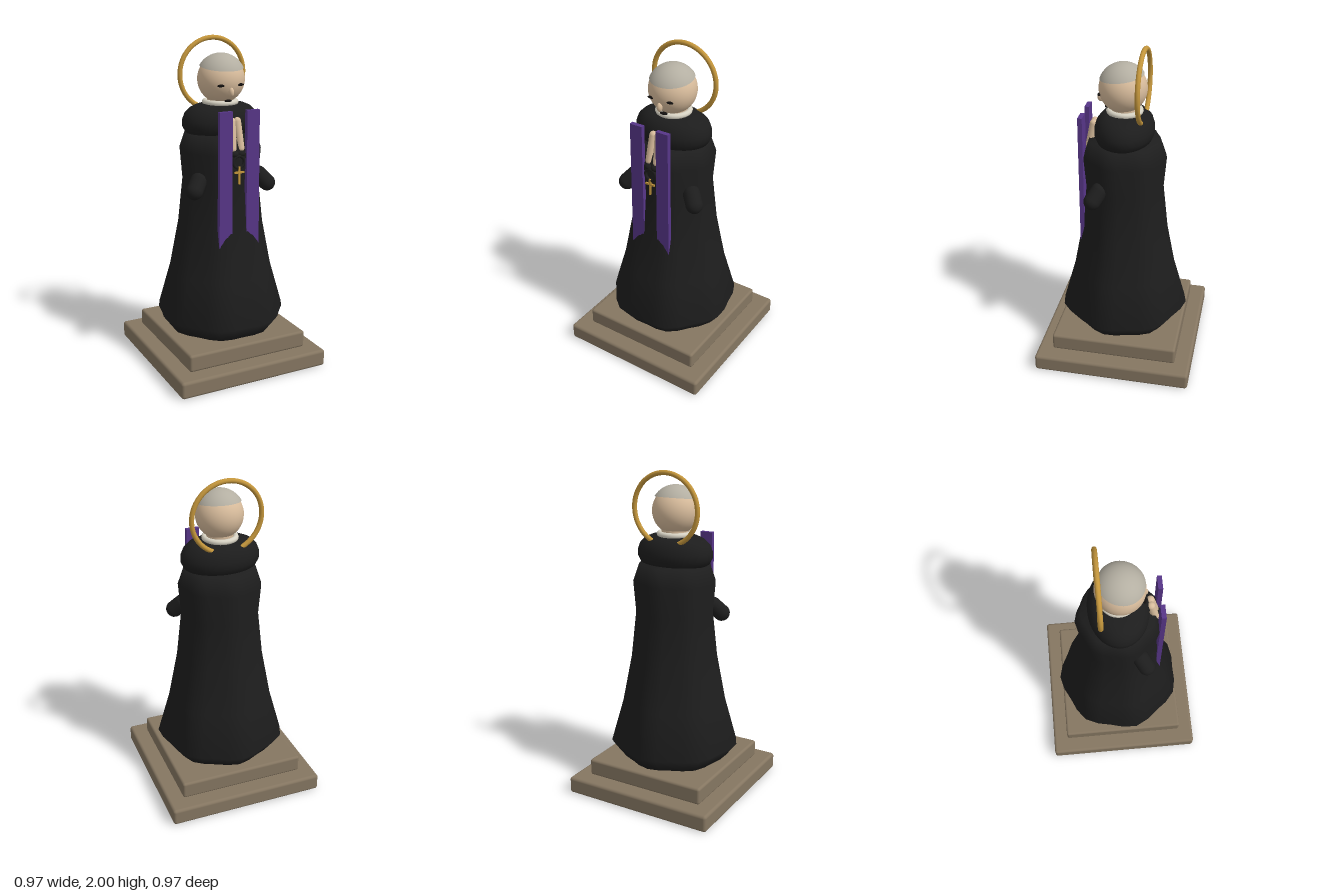
import * as THREE from 'three';
import { mergeVertices } from 'three/addons/utils/BufferGeometryUtils.js';
import { RoundedBoxGeometry } from 'three/addons/geometries/RoundedBoxGeometry.js';

const paint = (name, color) => {
  const m = new THREE.MeshStandardMaterial({ color });
  m.name = name;
  return m;
};

export function createModel() {
  const group = new THREE.Group();
  const stone = paint('stone', 0x857661);
  const cloth = paint('black cloth', 0x1d1d1d);
  const purple = paint('purple', 0x573688);
  const gold = paint('gold', 0xc4963c);
  const skin = paint('skin', 0xd8bc9c);
  const hairGrey = paint('grey hair', 0xb4afa2);
  hairGrey.side = THREE.DoubleSide;
  const linen = paint('linen', 0xd8d3c4);
  const dark = paint('dark features', 0x120f0e);

  const add = (name, geometry, material, x = 0, y = 0, z = 0) => {
    const mesh = new THREE.Mesh(geometry, material);
    mesh.name = name;
    mesh.position.set(x, y, z);
    group.add(mesh);
    return mesh;
  };
  const ellipsoid = (name, material, x, y, z, rx, ry, rz) =>
    add(name, new THREE.SphereGeometry(1, 20, 14), material, x, y, z).scale.set(rx, ry, rz);
  const capsule = (name, material, from, to, radius) => {
    const a = new THREE.Vector3(...from), b = new THREE.Vector3(...to);
    const dir = b.clone().sub(a);
    const mesh = add(name, new THREE.CapsuleGeometry(radius, dir.length(), 8, 16), material);
    mesh.position.copy(a).add(b).multiplyScalar(0.5);
    mesh.quaternion.setFromUnitVectors(new THREE.Vector3(0, 1, 0), dir.normalize());
    return mesh;
  };
  const lathe = (points, segments) =>
    new THREE.LatheGeometry(points.map(([r, y]) => new THREE.Vector2(r, y)), segments);

  // Stepped plinth
  add('plinthBase', new RoundedBoxGeometry(0.97, 0.105, 0.97, 4, 0.018), stone, 0, 0.0525, 0);
  add('plinthStep', new RoundedBoxGeometry(0.78, 0.105, 0.78, 4, 0.015), stone, 0, 0.16, 0);

  // Robe: a lathe with seven soft folds
  let robe = lathe([[0, 0.215], [0.325, 0.222], [0.39, 0.31], [0.315, 0.58], [0.26, 0.87],
    [0.23, 1.15], [0.245, 1.34], [0.21, 1.445], [0, 1.45]], 28);
  const p = robe.attributes.position;
  for (let i = 0; i < p.count; i++) {
    const k = 1 - 0.032 * Math.cos(7 * Math.atan2(p.getX(i), p.getZ(i)));
    p.setX(i, p.getX(i) * k);
    p.setZ(i, p.getZ(i) * k);
  }
  robe.deleteAttribute('normal');
  robe.deleteAttribute('uv');
  robe = mergeVertices(robe, 1e-4);
  robe.computeVertexNormals();
  add('robe', robe, cloth);

  // Shoulder cape, neck and collar
  add('shoulderCape', lathe([[0, 1.42], [0.18, 1.425], [0.22, 1.45], [0.238, 1.485], [0.238, 1.52],
    [0.222, 1.56], [0.19, 1.59], [0.15, 1.607], [0.08, 1.615], [0, 1.615]], 40), cloth).scale.z = 0.735;
  add('neck', new THREE.CylinderGeometry(0.08, 0.08, 0.08, 24), skin, 0, 1.62, 0);
  add('collar', new THREE.TorusGeometry(0.092, 0.017, 10, 36).rotateX(Math.PI / 2), linen, 0, 1.62, 0);

  // Head, cap of hair and face
  add('head', new THREE.SphereGeometry(0.141, 36, 24), skin, 0, 1.755, 0.01);
  add('hairCap', new THREE.SphereGeometry(0.147, 36, 12, 0, Math.PI * 2, 0, 1.08),
    hairGrey, 0, 1.76, 0.008).rotation.x = 0.13;
  ellipsoid('nose', skin, 0, 1.692, 0.142, 0.016, 0.028, 0.02);
  ellipsoid('mouth', dark, 0, 1.637, 0.102, 0.024, 0.007, 0.016);

  // Halo
  add('halo', new THREE.TorusGeometry(0.211, 0.0145, 12, 64), gold, 0, 1.775, -0.11);

  // Paired parts: eyes, sleeves, hands, cuffs and stole bands
  for (const s of [1, -1]) {
    const side = s > 0 ? 'left' : 'right';
    ellipsoid(side + 'Eye', dark, s * 0.062, 1.732, 0.135, 0.024, 0.008, 0.01);
    capsule(side + 'Sleeve', cloth, [s * 0.2, 1.18, 0.115], [s * 0.242, 1.13, 0.148], 0.051);
    capsule(side + 'Hand', skin, [s * 0.018, 1.53, 0.182], [s * 0.026, 1.375, 0.212], 0.023);
    ellipsoid(side + 'Cuff', cloth, s * 0.022, 1.345, 0.215, 0.03, 0.024, 0.035);

    const band = new THREE.Shape([[0.047, 1.6], [0.128, 1.6], [0.131, 0.79], [0.092, 0.845], [0.047, 0.87]]
      .map(([x, y]) => new THREE.Vector2(s * x, y)));
    add(side + 'StoleBand', new THREE.ExtrudeGeometry(band, { depth: 0.027, bevelEnabled: false }),
      purple, 0, 0, 0.226);
  }

  // Bead loop with hanging cross
  add('beadLoop', new THREE.TorusGeometry(0.035, 0.009, 10, 24), cloth, 0, 1.3, 0.24);
  add('crossUpright', new THREE.BoxGeometry(0.011, 0.105, 0.01), gold, 0, 1.222, 0.247);
  add('crossBar', new THREE.BoxGeometry(0.062, 0.011, 0.01), gold, 0, 1.24, 0.247);

  return group;
}
